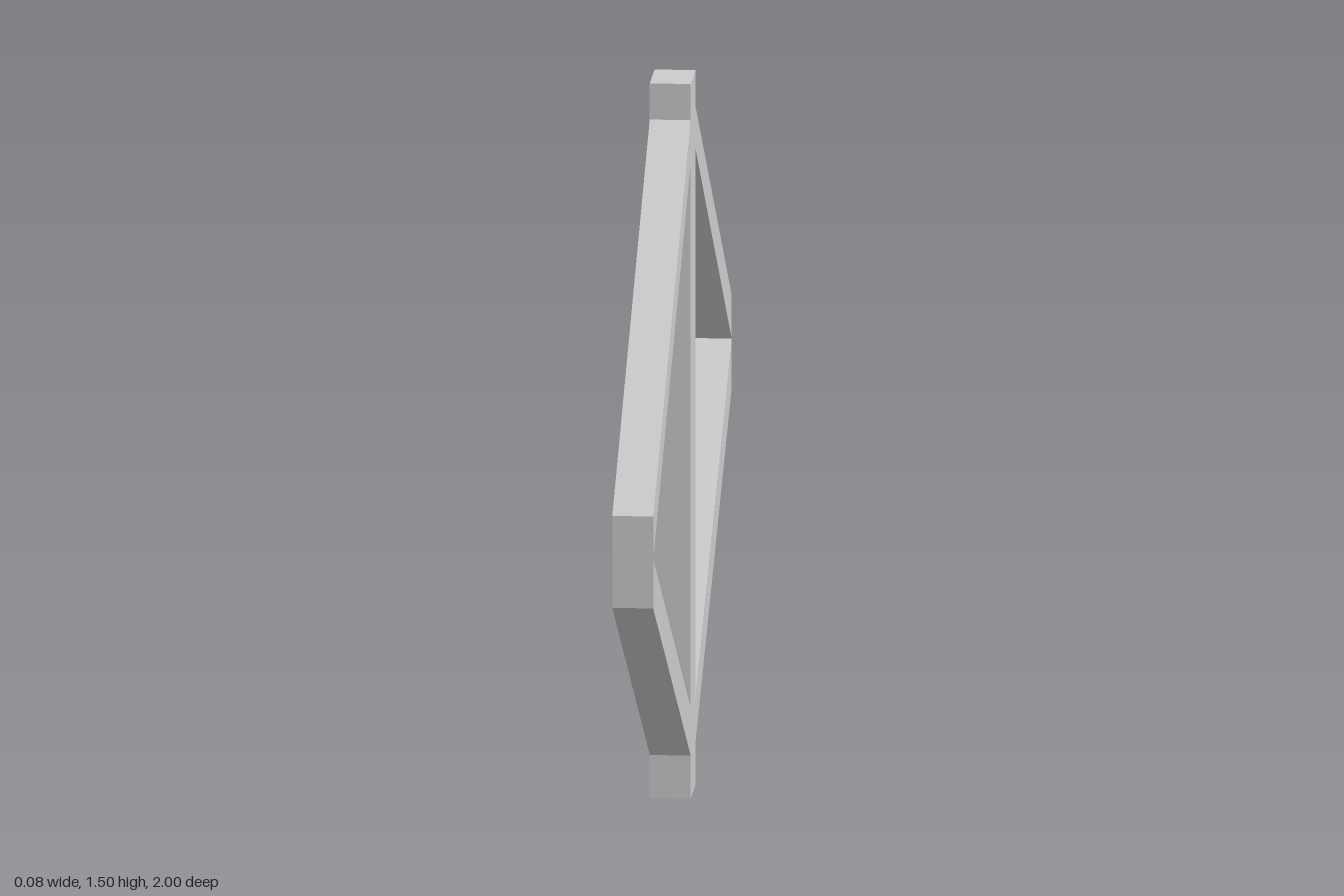
import * as THREE from 'three';

const WIDTH = 0.084;
const FRONT = 0.045, BACK = -0.078; // post faces along z

export function createModel() {
  const group = new THREE.Group();
  const material = new THREE.MeshStandardMaterial({ color: 0xcccccc, flatShading: true });

  // Extrudes a side profile of [z, y] corners across the frame's width
  function addBar(name, corners) {
    const shape = new THREE.Shape(corners.map(([z, y]) => new THREE.Vector2(z, y)));
    const geometry = new THREE.ExtrudeGeometry(shape, { depth: WIDTH, bevelEnabled: false });
    geometry.rotateY(-Math.PI / 2).translate(WIDTH / 2, 0, 0);
    const mesh = new THREE.Mesh(geometry, material);
    mesh.name = name;
    group.add(mesh);
  }

  // Upright post
  addBar('post', [[BACK, 0], [FRONT, 0], [FRONT, 1.5], [BACK, 1.5]]);

  // Sloping braces with plumb-cut ends: post face z, outer z, outer bottom / middle / top
  const sides = [
    ['front', FRONT, 1, 0.625, 0.728, 0.818],
    ['back', BACK, -1, 0.615, 0.718, 0.81],
  ];
  for (const [side, inner, outer, bottom, middle, top] of sides) {
    addBar(side + 'UpperBrace', [[inner, 1.335], [outer, middle], [outer, top], [inner, 1.424]]);
    addBar(side + 'LowerBrace', [[inner, 0.09], [outer, bottom], [outer, middle], [inner, 0.19]]);
  }
  return group;
}
